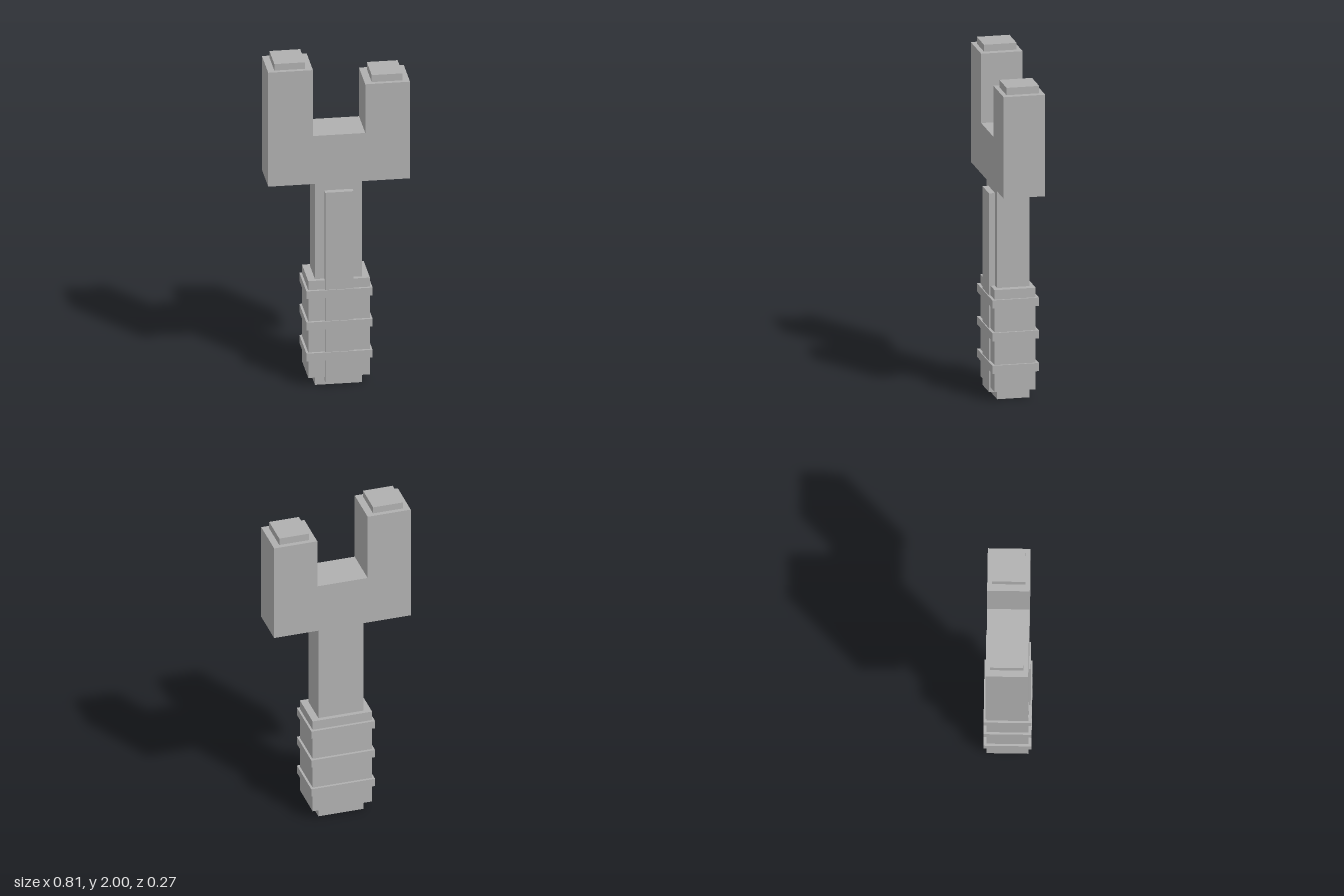
import * as THREE from 'three';

export function createModel() {
  const model = new THREE.Group();
  const grey = new THREE.MeshStandardMaterial({ color: 0xb0b0b0 });
  grey.name = 'plain grey';

  const add = (name, geometry) => {
    const mesh = new THREE.Mesh(geometry, grey);
    mesh.name = name;
    model.add(mesh);
    return mesh;
  };

  // Box given by its extents along each axis
  const box = (name, [x0, x1], [y0, y1], [z0, z1]) =>
    add(name, new THREE.BoxGeometry(x1 - x0, y1 - y0, z1 - z0))
      .position.set((x0 + x1) / 2, (y0 + y1) / 2, (z0 + z1) / 2);
  const span = (h) => [-h, h];

  // Shaft running the whole length of the handle
  box('shaft', span(0.135), [0, 1.255], span(0.095));

  // Raised strip along the front
  box('frontStrip', span(0.081), [0.03, 1.2], [0.09, 0.13]);

  // Thick grip with three bands
  box('grip', span(0.177), [0.056, 0.655], span(0.12));
  for (const y of [0.19, 0.382, 0.575]) {
    box('gripBand', span(0.19), [y - 0.024, y + 0.024], span(0.136));
  }

  // Forked head with one prong longer than the other
  const inner = 0.15, outer = 0.407, depth = 0.242;
  const fork = new THREE.Shape([
    [-outer, 1.255], [outer, 1.255], [outer, 1.853], [inner, 1.853],
    [inner, 1.552], [-inner, 1.552], [-inner, 1.96], [-outer, 1.96],
  ].map(([x, y]) => new THREE.Vector2(x, y)));
  const head = new THREE.ExtrudeGeometry(fork, { depth, bevelEnabled: false });
  add('forkHead', head.translate(0, 0, -depth / 2));

  // Small caps on the prong tips
  box('longProngCap', [-0.368, -0.191], [1.95, 2], span(0.095));
  box('shortProngCap', [0.191, 0.368], [1.843, 1.896], span(0.095));

  return model;
}
